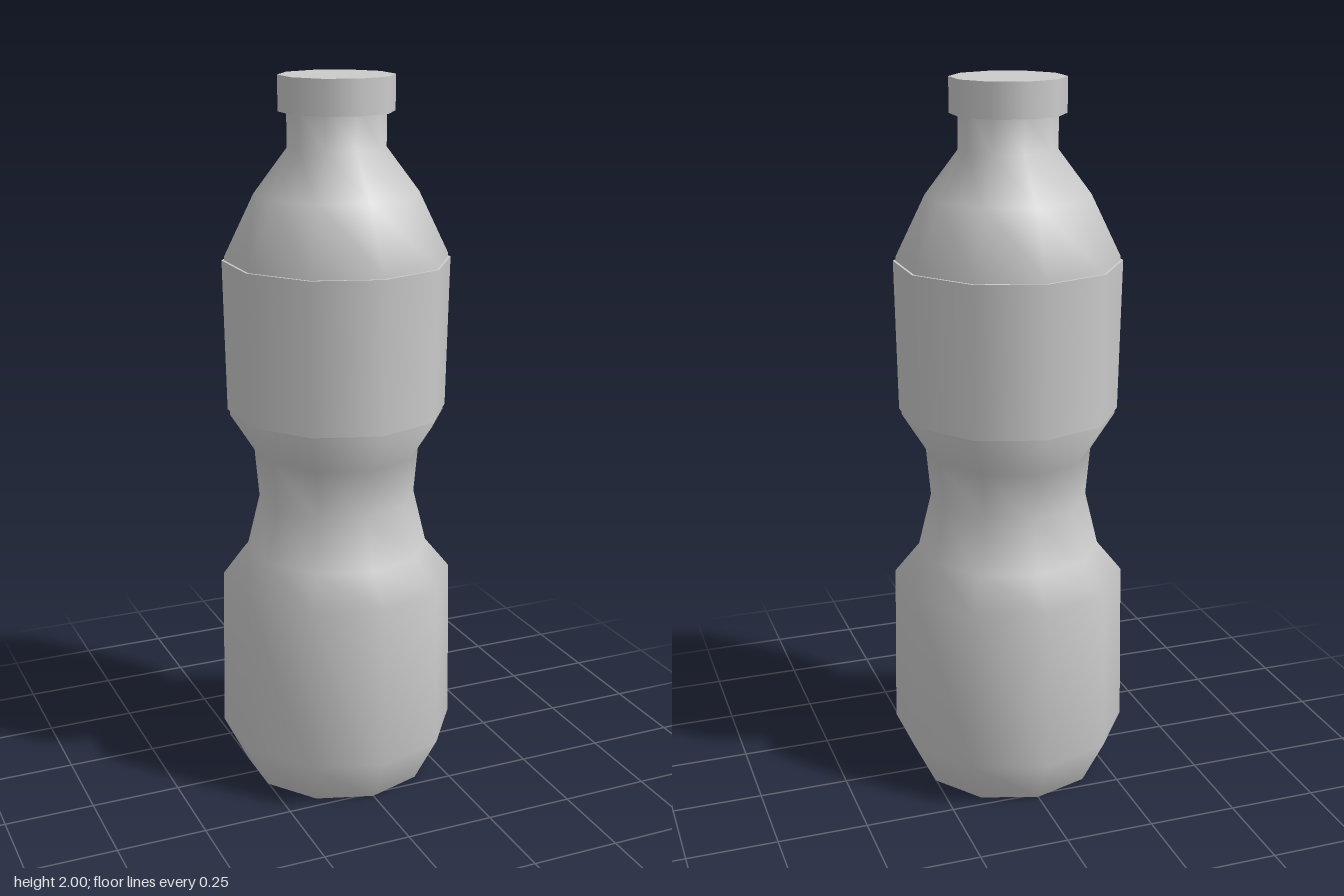
import * as THREE from 'three';

const SIDES = 10;

export function createModel() {
  const group = new THREE.Group();
  const material = new THREE.MeshStandardMaterial({ color: 0xcccccc });

  function add(name, geometry, y = 0) {
    const mesh = new THREE.Mesh(geometry, material);
    mesh.name = name;
    mesh.position.y = y;
    group.add(mesh);
  }

  // A ten-sided band with closed ends, standing between two heights
  function band(name, topRadius, bottomRadius, bottom, top) {
    const h = top - bottom;
    add(name, new THREE.CylinderGeometry(topRadius, bottomRadius, h, SIDES), bottom + h / 2);
  }

  // Bottle body: radius and height, from base to neck
  const profile = [
    [0.265, 0], [0.334, 0.135], [0.326, 0.6], [0.256, 0.685],
    [0.22, 0.835], [0.232, 0.97], [0.299, 1.075], [0.306, 1.52],
    [0.224, 1.69], [0.134, 1.81], [0.134, 1.93],
  ].map(([r, y]) => new THREE.Vector2(r, y));
  add('body', new THREE.LatheGeometry(profile, SIDES));

  // Flat underside
  const base = new THREE.CircleGeometry(0.265, SIDES, Math.PI / 2);
  base.rotateX(Math.PI / 2);
  add('base', base);

  // Label wrapped around the upper body, and the screw cap
  band('label', 0.313, 0.305, 1.09, 1.51);
  band('cap', 0.157, 0.157, 1.905, 2);

  return group;
}
